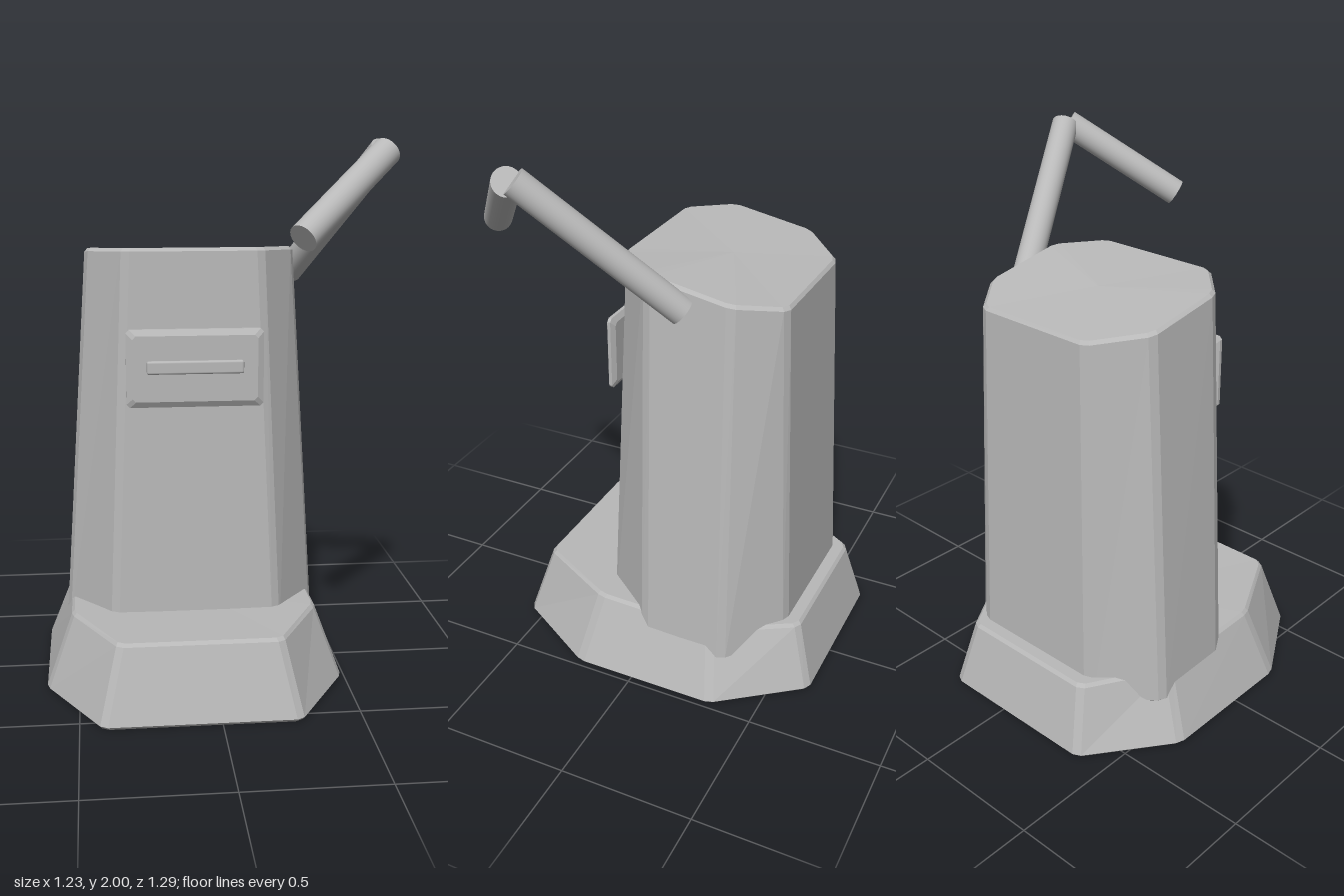
import * as THREE from 'three';
import { RoundedBoxGeometry } from 'three/addons/geometries/RoundedBoxGeometry.js';

// Eight corners, listed back edge first and then round to the left side.
function octagon({ back, right, front, left, y }) {
  const [yFront, yMidFront, yMidBack, yBack] = y;
  return [
    [back[1], yBack, back[0]], [back[2], yBack, back[0]],
    [left[0], yMidBack, left[1]], [left[0], yMidFront, left[2]],
    [front[1], yFront, front[0]], [front[2], yFront, front[0]],
    [right[0], yMidFront, right[2]], [right[0], yMidBack, right[1]],
  ].map((p) => new THREE.Vector3(...p));
}

// Cut each corner of a ring a little to soften the upright edges.
function chamfer(ring, size) {
  const out = [];
  ring.forEach((p, i) => {
    for (const q of [ring.at(i - 1), ring[(i + 1) % ring.length]]) {
      out.push(p.clone().lerp(q, size / p.distanceTo(q)));
    }
  });
  return out;
}

function centre(ring) {
  return ring.reduce((sum, p) => sum.add(p), new THREE.Vector3()).divideScalar(ring.length);
}

// Shrink a ring towards its middle and shift it up or down.
function inset(ring, amount, dy) {
  const c = centre(ring);
  return ring.map((p) => {
    const d = new THREE.Vector3(p.x - c.x, 0, p.z - c.z);
    const q = p.clone().addScaledVector(d.normalize(), -amount);
    q.y += dy;
    return q;
  });
}

// Skin rings from bottom to top with flat facets and close both ends.
function loft(rings) {
  const pos = [];
  const tri = (...pts) => pts.forEach((p) => pos.push(p.x, p.y, p.z));
  const n = rings[0].length;
  const bottom = rings[0];
  const top = rings.at(-1);
  const cb = centre(bottom);
  const ct = centre(top);
  for (let i = 0; i < n; i++) {
    const j = (i + 1) % n;
    for (let k = 0; k < rings.length - 1; k++) {
      const a = rings[k];
      const b = rings[k + 1];
      tri(a[i], a[j], b[j]);
      tri(a[i], b[j], b[i]);
    }
    tri(cb, bottom[j], bottom[i]);
    tri(ct, top[i], top[j]);
  }
  const g = new THREE.BufferGeometry();
  g.setAttribute('position', new THREE.Float32BufferAttribute(pos, 3));
  g.computeVertexNormals();
  return g;
}

// Block between two octagons with small bevels at the rims.
function block(lower, upper, bevel) {
  const a = chamfer(octagon(lower), 0.018);
  const b = chamfer(octagon(upper), 0.018);
  return loft([inset(a, bevel, -bevel), a, b, inset(b, bevel, bevel)]);
}

export function createModel() {
  const model = new THREE.Group();
  const grey = new THREE.MeshStandardMaterial({ color: 0xb8b8b8 });
  grey.name = 'plain grey';

  const add = (name, geometry) => {
    const mesh = new THREE.Mesh(geometry, grey);
    mesh.name = name;
    model.add(mesh);
    return mesh;
  };

  // Wide flared foot
  add('base', block(
    { back: [-0.64, 0.25, -0.39], right: [0.485, -0.33, 0.22], front: [0.565, -0.42, 0.28],
      left: [-0.62, -0.33, 0.22], y: [0.01, 0.01, 0.01, 0.01] },
    { back: [-0.575, 0.21, -0.35], right: [0.39, -0.29, 0.17], front: [0.49, -0.36, 0.22],
      left: [-0.525, -0.29, 0.17], y: [0.272, 0.27, 0.258, 0.25] },
    0.012));

  // Tapered body with a top that slopes down to the back
  add('body', block(
    { back: [-0.525, 0.2, -0.34], right: [0.412, -0.345, -0.025], front: [0.192, -0.37, 0.245],
      left: [-0.545, -0.345, -0.025], y: [0.17, 0.17, 0.17, 0.17] },
    { back: [-0.47, 0.19, -0.29], right: [0.315, -0.315, -0.005], front: [0.143, -0.31, 0.18],
      left: [-0.45, -0.315, -0.005], y: [1.61, 1.6, 1.545, 1.515] },
    0.012));

  // Front plate with bevelled edges
  const w = 0.49, h = 0.28;
  const plateRing = (s, z) => [[-1, -1], [1, -1], [1, 1], [-1, 1]].map(([sx, sy]) =>
    new THREE.Vector3(sx * (w / 2 - s), sy * (h / 2 - s), z));
  const plate = add('frontPlate', loft(
    [[0.02, -0.018], [0, -0.007], [0, 0.005], [0.022, 0.018]].map(([s, z]) =>
      chamfer(plateRing(s, z), 0.012))));
  plate.position.set(-0.067, 1.205, 0.216);

  // Raised bar on the plate
  const bar = add('plateBar', new RoundedBoxGeometry(0.345, 0.048, 0.022, 2, 0.008));
  bar.position.set(-0.067, 1.211, 0.235);

  // Bent arm made of two rods
  const rod = (name, from, to) => {
    const a = new THREE.Vector3(...from);
    const b = new THREE.Vector3(...to);
    const mesh = add(name, new THREE.CylinderGeometry(0.05, 0.05, a.distanceTo(b), 32));
    mesh.position.copy(a).lerp(b, 0.5);
    mesh.quaternion.setFromUnitVectors(new THREE.Vector3(0, 1, 0), b.sub(a).normalize());
  };
  rod('lowerArm', [0.322, 1.508, -0.145], [0.565, 1.96, 0.32]);
  rod('upperArm', [0.243, 1.69, 0.607], [0.57, 1.957, 0.34]);

  return model;
}
